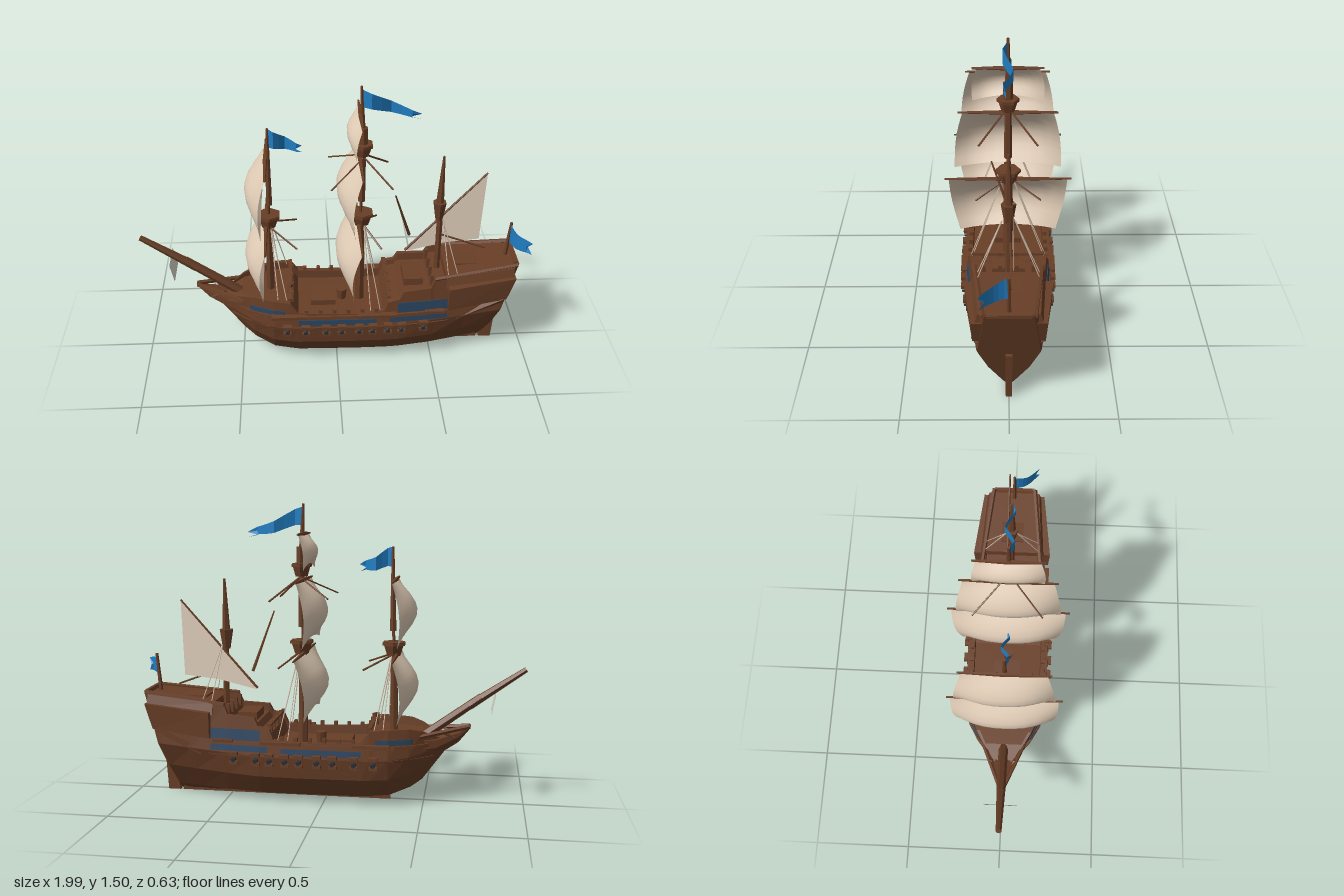
import * as THREE from 'three';

const mat = (name, color, side = THREE.FrontSide) => {
  const m = new THREE.MeshStandardMaterial({ color, side, flatShading: true });
  m.name = name;
  return m;
};

// hull stations: x, rake, keelY, bilge fullness, wideY, wideZ, railY, railZ, deckY
const STATIONS = [
  [-0.60, 0, 0.26, 0.3, 0.29, 0.02, 0.33, 0.03, 0.33],
  [-0.49, 0, 0.11, 0.5, 0.27, 0.11, 0.385, 0.11, 0.36],
  [-0.43, 0, 0.065, 0.7, 0.26, 0.155, 0.40, 0.145, 0.36],
  [-0.33, 0, 0.02, 0.85, 0.25, 0.20, 0.40, 0.185, 0.36],
  [-0.24, 0, 0.015, 0.95, 0.25, 0.21, 0.395, 0.20, 0.36],
  [-0.20, 0, 0.014, 1, 0.25, 0.212, 0.335, 0.205, 0.29],
  [0.10, 0, 0.01, 1, 0.25, 0.215, 0.325, 0.208, 0.28],
  [0.24, 0, 0.01, 1, 0.25, 0.213, 0.335, 0.205, 0.29],
  [0.26, 0, 0.01, 1, 0.25, 0.212, 0.385, 0.20, 0.36],
  [0.32, 0, 0.01, 0.98, 0.25, 0.21, 0.40, 0.195, 0.37],
  [0.34, 0, 0.01, 0.97, 0.25, 0.208, 0.44, 0.188, 0.40],
  [0.48, 0, 0.008, 0.85, 0.26, 0.195, 0.45, 0.175, 0.41],
  [0.50, 0, 0.008, 0.83, 0.26, 0.192, 0.495, 0.165, 0.46],
  [0.64, 0.12, 0.007, 0.6, 0.27, 0.172, 0.51, 0.15, 0.475],
  [0.76, 0.29, 0.007, 0.35, 0.28, 0.15, 0.535, 0.13, 0.50],
  [0.775, 0.3, 0.007, 0.3, 0.28, 0.145, 0.545, 0.11, 0.545],
];

const halfSection = ([, , k, f, wy, wz, ry, rz]) => [
  [k + (wy - k) * 0.13, wz * 0.62 * f], [k + (wy - k) * 0.55, wz * (0.55 + 0.38 * f)], [wy, wz], [ry, rz],
];

function section(s) {
  const [x, rake, k, , , , ry, rz, dy] = s;
  const side = [...halfSection(s), [ry, rz * 0.88], [dy, rz * 0.87]];
  const ring = [[k, 0], ...side, ...side.map(([y, z]) => [y, -z]).reverse()];
  return ring.map(([y, z]) => [x + rake * y, y, z]);
}

// half width of the hull side at x, y
function halfAt(x, y) {
  let i = 0;
  while (i < STATIONS.length - 2 && STATIONS[i + 1][0] < x) i++;
  const at = (s) => {
    const p = halfSection(s);
    let j = 0;
    while (j < p.length - 2 && p[j + 1][0] < y) j++;
    const t = THREE.MathUtils.clamp((y - p[j][0]) / (p[j + 1][0] - p[j][0]), 0, 1);
    return p[j][1] + (p[j + 1][1] - p[j][1]) * t;
  };
  const a = STATIONS[i], b = STATIONS[i + 1];
  return THREE.MathUtils.lerp(at(a), at(b), THREE.MathUtils.clamp((x - a[0]) / (b[0] - a[0]), 0, 1));
}

function loft(rings) {
  const n = rings[0].length, idx = [], last = (rings.length - 1) * n;
  for (let i = 0; i < rings.length - 1; i++) for (let j = 0; j < n; j++) {
    const a = i * n + j, d = i * n + (j + 1) % n;
    idx.push(a, a + n, d + n, a, d + n, d);
  }
  for (let j = 1; j < n - 1; j++) idx.push(0, j, j + 1, last, last + j + 1, last + j);
  const g = new THREE.BufferGeometry();
  g.setAttribute('position', new THREE.Float32BufferAttribute(rings.flat(2), 3));
  g.setIndex(idx);
  g.computeVertexNormals();
  return g;
}

function reshape(g, fn) {
  const p = g.attributes.position;
  for (let i = 0; i < p.count; i++) p.setXYZ(i, ...fn(p.getX(i), p.getY(i), p.getZ(i)));
  g.computeVertexNormals();
  return g;
}

export function createModel() {
  const ship = new THREE.Group();
  ship.name = 'sailingShip';
  const wood = mat('wood brown', 0x693f27);
  const navy = mat('painted navy', 0x2b4560);
  const blue = mat('flag blue', 0x207dc2, THREE.DoubleSide);
  const iron = mat('cannon iron', 0x2f353d);
  const canvas = mat('sail canvas', 0xdfcbb5, THREE.DoubleSide);
  canvas.flatShading = false;
  const lightCanvas = mat('light canvas', 0xecdac5, THREE.DoubleSide);
  const pale = mat('pale cloth', 0xd6d6cb, THREE.DoubleSide);

  const add = (name, geo, m = wood) => {
    const mesh = new THREE.Mesh(geo, m);
    mesh.name = name;
    ship.add(mesh);
    return mesh;
  };
  const beam = (name, a, b, r0, r1 = r0, m = wood, sides = 5) => {
    const A = new THREE.Vector3(...a), d = new THREE.Vector3(...b).sub(A);
    const mesh = add(name, new THREE.CylinderGeometry(r1, r0, d.length(), sides), m);
    mesh.position.copy(A).addScaledVector(d, 0.5);
    mesh.quaternion.setFromUnitVectors(new THREE.Vector3(0, 1, 0), d.normalize());
  };
  const box = (name, x, y, z, w, h, d, m = wood) => add(name, new THREE.BoxGeometry(w, h, d), m).position.set(x, y, z);
  const band = (name, x0, x1, y0, y1, t, m) => [1, -1].forEach((s) => {
    const g = new THREE.BoxGeometry(x1 - x0, y1 - y0, t, 12, 1, 1).translate((x0 + x1) / 2, (y0 + y1) / 2, 0);
    add(name, reshape(g, (x, y, z) => [x, y, z + s * halfAt(x, y)]), m);
  });

  // hull, wales and painted bands
  add('hull', loft(STATIONS.map(section)));
  band('upperWale', -0.55, 0.58, 0.303, 0.32, 0.022, wood);
  band('lowerWale', -0.55, 0.58, 0.238, 0.25, 0.016, wood);
  band('bowPaint', -0.45, -0.27, 0.325, 0.35, 0.009, navy);
  band('waistPaint', -0.2, 0.2, 0.262, 0.293, 0.009, navy);
  band('quarterPaint', 0.27, 0.57, 0.27, 0.30, 0.009, navy);
  band('quarterPanel', 0.31, 0.57, 0.325, 0.38, 0.009, navy);

  // stern gallery, transom trim and rudder
  add('sternGallery', reshape(new THREE.BoxGeometry(0.33, 0.13, 0.424).translate(0.735, 0.395, 0),
    (x, y, z) => {
      const t = (x - 0.57) / 0.33;
      return [x + t * (y - 0.4) * 0.3, y + t * 0.03, z * (1 - 0.2 * t) * (y < 0.4 ? 0.97 : 1)];
    }));
  add('upperGallery', reshape(new THREE.BoxGeometry(0.35, 0.06, 0.36).translate(0.735, 0.475, 0),
    (x, y, z) => {
      const t = (x - 0.56) / 0.35;
      return [x, y + t * 0.03, z * (1 - 0.14 * t) * (y > 0.475 ? 0.9 : 1)];
    }));
  beam('sternRail', [0.925, 0.54, -0.1], [0.925, 0.54, 0.1], 0.014);
  [1, -1].forEach((s) => {
    beam('poopRail', [0.5, 0.497, s * 0.16], [0.93, 0.54, s * 0.115], 0.012);
    beam('galleryBracket', [0.62, 0.25, s * 0.15], [0.86, 0.36, s * 0.145], 0.025);
  });
  const rudder = new THREE.Shape([[0.785, 0], [0.85, 0], [0.868, 0.26], [0.835, 0.26]].map((p) => new THREE.Vector2(...p)));
  add('rudder', new THREE.ExtrudeGeometry(rudder, { depth: 0.03, bevelEnabled: false }).translate(0, 0, -0.015));
  box('keel', 0.22, 0.01, 0, 1.1, 0.02, 0.025);

  // beakhead and bowsprit
  const beak = (x, y, h, z) => [[x, y, 0], [x, y + h * 0.6, z], [x, y + h, z], [x, y + h, -z], [x, y + h * 0.6, -z]];
  add('beakhead', loft([beak(-0.73, 0.385, 0.015, 0.012), beak(-0.67, 0.31, 0.055, 0.035), beak(-0.56, 0.235, 0.1, 0.08), beak(-0.45, 0.2, 0.14, 0.12)]));
  [1, -1].forEach((s) => {
    beam('beakRail', [-0.725, 0.395, s * 0.01], [-0.48, 0.355, s * 0.11], 0.012);
    beam('beakBrace', [-0.65, 0.34, s * 0.04], [-0.58, 0.38, s * 0.06], 0.009);
  });
  beam('bowsprit', [-0.46, 0.31, 0], [-0.78, 0.545, 0], 0.026, 0.022, wood, 6);
  beam('bowspritTip', [-0.72, 0.50, 0], [-0.995, 0.69, 0], 0.024, 0.014, wood, 6);
  const sprit = add('spritSail', new THREE.PlaneGeometry(0.17, 0.1), pale);
  sprit.rotation.set(0, Math.PI / 2, 0.2, 'ZYX');
  sprit.position.set(-0.84, 0.52, 0);

  // cannons under port lids
  [-0.26, -0.165, -0.06, 0.02, 0.11, 0.18, 0.26, 0.33, 0.445].forEach((x) => [1, -1].forEach((s) => {
    const z = s * halfAt(x, 0.235);
    beam('cannon', [x, 0.235, z - s * 0.02], [x, 0.228, z + s * 0.026], 0.015, 0.012, iron, 6);
    box('portLid', x, 0.26, z + s * 0.012, 0.045, 0.018, 0.036);
    box('portSill', x, 0.21, z, 0.042, 0.016, 0.03);
  }));

  // channels where the rigging meets the hull, and rail posts
  [[-0.25, 0.18], [0.2, 0.2], [0.5, 0.1]].forEach(([x, w]) => [1, -1].forEach((s) => box('channel', x, 0.322, s * (halfAt(x, 0.325) + 0.01), w, 0.016, 0.036)));
  for (let i = 0; i < 6; i++) [1, -1].forEach((s) => box('railPost', -0.16 + i * 0.072, 0.335, s * 0.194, 0.018, 0.03, 0.02));

  // deck furniture
  box('hatch', -0.07, 0.3, 0, 0.13, 0.03, 0.14);
  box('deckCabin', 0.40, 0.425, 0, 0.1, 0.04, 0.16);
  box('poopHatch', 0.68, 0.505, 0, 0.12, 0.03, 0.12);
  [-0.23, 0.27, 0.49].forEach((x, i) => [-0.12, -0.04, 0.04, 0.12].forEach((z) => box('baluster', x, [0.385, 0.385, 0.465][i], z, 0.016, 0.06, 0.018)));
  [-0.24, 0.265].forEach((x) => box('breastRail', x, 0.405, 0, 0.02, 0.012, 0.36));
  beam('capstan', [0.03, 0.28, 0], [0.03, 0.34, 0], 0.022, 0.028, wood, 8);
  beam('bitt', [-0.25, 0.37, 0.07], [-0.235, 0.43, 0.07], 0.012);

  // masts with crow's nests
  const nest = (x, y, r, h) => {
    add('crowsNest', new THREE.CylinderGeometry(r, r * 0.62, h, 6)).position.set(x, y, 0);
    add('nestRim', new THREE.CylinderGeometry(r * 1.06, r * 1.06, 0.014, 6)).position.set(x, y + h / 2 - 0.01, 0);
  };
  beam('foreMast', [-0.345, 0.34, 0], [-0.34, 0.8, 0], 0.023, 0.018, wood, 6);
  beam('foreMastJoint', [-0.34, 0.79, 0], [-0.335, 0.9, 0], 0.008);
  beam('foreTopmast', [-0.335, 0.87, 0], [-0.33, 1.29, 0], 0.018, 0.007, wood, 6);
  nest(-0.34, 0.78, 0.06, 0.07);
  beam('mainMast', [0.125, 0.28, 0], [0.125, 0.8, 0], 0.026, 0.021, wood, 6);
  beam('mainMastJoint', [0.125, 0.79, 0], [0.125, 0.9, 0], 0.008);
  beam('mainTopmast', [0.128, 0.88, 0], [0.132, 1.2, 0], 0.02, 0.016, wood, 6);
  beam('mainMastCap', [0.135, 1.18, 0], [0.132, 1.285, 0], 0.024, 0.024, wood, 6);
  beam('mainTopgallantMast', [0.13, 1.26, 0], [0.12, 1.5, 0], 0.015, 0.007, wood, 6);
  nest(0.13, 0.78, 0.06, 0.07);
  nest(0.13, 1.17, 0.052, 0.065);
  beam('mizzenMast', [0.53, 0.46, 0], [0.53, 0.85, 0], 0.016, 0.016, wood, 6);
  beam('mizzenTopmast', [0.525, 0.8, 0], [0.532, 1.12, 0], 0.024, 0.006, wood, 6);
  beam('mizzenTop', [0.525, 0.76, 0], [0.525, 0.86, 0], 0.02, 0.036, wood, 6);

  // square sails bellied toward the bow, each under its yard
  const squareSail = (name, x, top, bottom, zTop, zBottom, bulge, lean) => {
    const g = reshape(new THREE.PlaneGeometry(2, 1, 10, 8), (u, v) => {
      const t = 0.5 - v, s = Math.sin(Math.PI * t);
      const belly = s * bulge * (0.25 + 0.75 * (1 - Math.abs(u) ** 2.3));
      const z = u * (THREE.MathUtils.lerp(zTop, zBottom, t) + 0.012 * s);
      return [x - lean * t - belly, top + (bottom - top) * t + 0.03 * t * (1 - u * u), z];
    });
    add(name + 'Sail', g, canvas);
    beam(name + 'Yard', [x, top + 0.005, -zTop - 0.02], [x, top + 0.005, 0], 0.005, 0.012);
    beam(name + 'Yard', [x, top + 0.005, 0], [x, top + 0.005, zTop + 0.02], 0.012, 0.005);
  };
  squareSail('foreCourse', -0.355, 0.745, 0.43, 0.27, 0.235, 0.1, 0.02);
  squareSail('foreTop', -0.345, 1.12, 0.81, 0.2, 0.25, 0.093, 0.03);
  squareSail('mainCourse', 0.115, 0.745, 0.43, 0.295, 0.245, 0.098, 0.035);
  squareSail('mainTop', 0.118, 1.115, 0.8, 0.22, 0.265, 0.098, 0.035);
  squareSail('mainTopgallant', 0.118, 1.345, 1.17, 0.15, 0.17, 0.053, 0.025);

  // lateen sail on the mizzen
  const lateen = new THREE.Shape([[0.37, 0.555], [0.41, 0.63], [0.76, 1.005], [0.745, 0.62], [0.56, 0.6]].map((p) => new THREE.Vector2(...p)));
  add('lateenSail', new THREE.ShapeGeometry(lateen).translate(0, 0, -0.02), lightCanvas);
  beam('lateenYard', [0.36, 0.56, -0.02], [0.76, 1.01, -0.02], 0.007, 0.005);
  beam('lateenBoom', [0.54, 0.66, -0.01], [0.78, 0.57, -0.01], 0.005);
  beam('crossjackYard', [0.29, 0.95, 0.08], [0.38, 0.65, -0.03], 0.004, 0.009);

  // braces and shrouds
  [1, -1].forEach((s) => {
    beam('topBrace', [0.14, 1.13, s * 0.02], [0.27, 1.02, s * 0.14], 0.005);
    beam('topStay', [0.13, 1.13, s * 0.02], [-0.03, 1.04, s * 0.17], 0.004);
    beam('courseBrace', [0.14, 0.75, s * 0.03], [0.22, 0.69, s * 0.16], 0.005);
    beam('foreBrace', [-0.33, 0.75, s * 0.03], [-0.2, 0.69, s * 0.14], 0.005);
    [[-0.34, 0.75, 0.34], [0.13, 0.75, 0.33], [0.53, 0.78, 0.5]].forEach(([x, top, foot]) => [0.04, 0.09].forEach((d) =>
      beam('shroud', [x + 0.01, top, s * 0.03], [x + d, foot, s * (x > 0.5 ? 0.15 : 0.19)], 0.004, 0.0025, canvas, 3)));
  });

  // rippling tapered flags
  const flag = (name, x, y, dx, dz, drop, h, ripple, taper) => add(name, reshape(new THREE.PlaneGeometry(1, 1, 6, 2), (u, v) => {
    const t = u + 0.5, w = ripple * Math.sin(t * 9), tail = t > 0.99 && Math.abs(v) < 0.1 ? 0.8 : 1;
    return [x + dx * (dz ? t * t : t) * tail, y - h / 2 - drop * t + v * h * (1 - taper * t) + w * 0.3, dz * t * tail + (dz ? 0 : w)];
  }), blue);
  flag('foreFlag', -0.33, 1.29, 0.165, 0, 0.06, 0.1, 0.02, 0.65);
  flag('mainFlag', 0.12, 1.485, 0.29, 0, 0.1, 0.09, 0.025, 0.7);
  beam('sternFlagStaff', [0.885, 0.53, 0], [0.903, 0.725, 0], 0.012, 0.008);
  flag('sternFlag', 0.9, 0.72, 0.09, 0.135, 0.02, 0.11, 0.012, 0.4);
  return ship;
}
